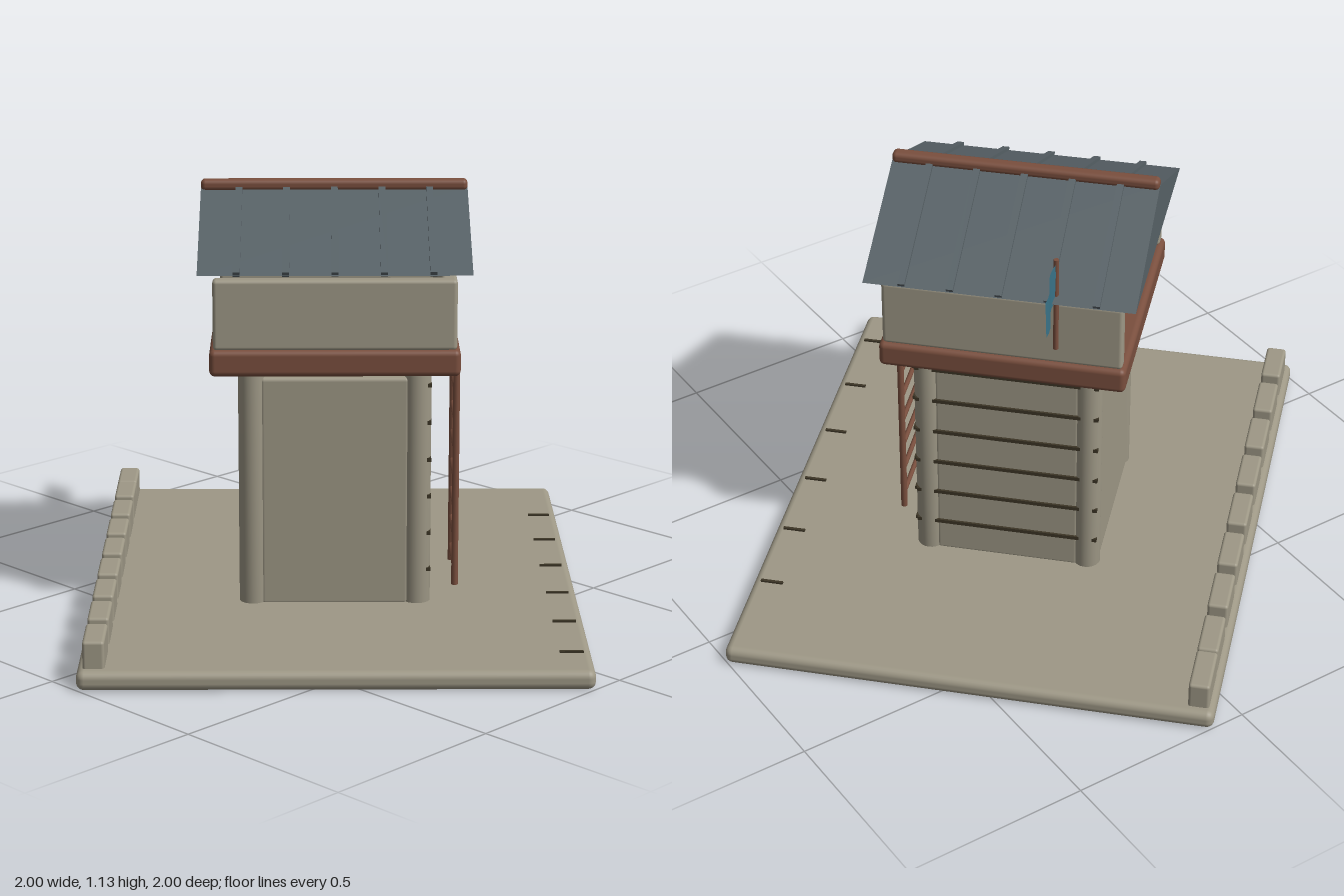
import * as THREE from 'three';
import { RoundedBoxGeometry } from 'three/addons/geometries/RoundedBoxGeometry.js';

const mat = (name, color) => {
  const m = new THREE.MeshStandardMaterial({ color });
  m.name = name;
  return m;
};

export function createModel() {
  const stone = mat('stone', 0x9e9886);
  const mortar = mat('dark mortar', 0x3c3526);
  const wood = mat('brown wood', 0x7a4f3e);
  const slate = mat('slate', 0x586267);
  const cloth = mat('blue cloth', 0x3a7489);
  cloth.side = THREE.DoubleSide;

  const root = new THREE.Group();
  root.name = 'watchtower';
  const tower = new THREE.Group();
  tower.name = 'towerAndYard';
  tower.rotation.y = Math.PI / 4; // the whole site stands diagonally
  root.add(tower);

  const add = (name, geo, material, x, y, z, parent = tower) => {
    const mesh = new THREE.Mesh(geo, material);
    mesh.name = name;
    mesh.position.set(x, y, z);
    parent.add(mesh);
    return mesh;
  };
  const box = (w, h, d) => new THREE.BoxGeometry(w, h, d);
  const soft = (w, h, d, r) => new RoundedBoxGeometry(w, h, d, 3, r);
  const rod = (r, h, sides = 10) => new THREE.CylinderGeometry(r, r, h, sides);

  // Ground slab
  add('groundSlab', soft(1.566, 0.05, 1.286, 0.02), stone, 0, 0.025, 0);

  // Low wall of blocks along the back edge
  for (let i = 0; i < 9; i++) {
    const x = i < 8 ? -0.682 + 0.175 * i : 0.686;
    add('wallBlock', soft(0.14, 0.08, 0.055, 0.008), stone, x, 0.08, -0.6);
  }

  // Short seams along the front edge
  for (let i = 0; i < 6; i++) {
    add('slabSeam', box(0.008, 0.01, 0.06), mortar, -0.643 + 0.2277 * i, 0.05, 0.592);
  }

  // Tower core: two crossed blocks leave the corners free for the posts
  add('sideWalls', soft(0.51, 0.62, 0.39, 0.012), stone, 0, 0.352, 0);
  add('frontBackWalls', soft(0.42, 0.62, 0.49, 0.012), stone, 0, 0.352, 0);

  // Corner posts, their round heads show above the deck
  for (const x of [-0.23, 0.23]) {
    for (const z of [-0.215, 0.215]) {
      const profile = [[0, 0.04], [0.036, 0.04], [0.036, 0.755], [0.03, 0.765], [0, 0.768]]
        .map(([r, y]) => new THREE.Vector2(r, y));
      add('cornerPost', new THREE.LatheGeometry(profile, 20), stone, x, 0, z);
    }
  }

  // Masonry joints: courses on the front and left side, upright joints on the front
  for (let row = 0; row < 6; row++) {
    const y = 0.14 + 0.1 * row;
    add('frontCourse', box(0.51, 0.01, 0.03), mortar, 0, y, 0.236);
    add('sideCourse', box(0.03, 0.01, 0.49), mortar, 0.246, y, 0);
    const offset = row % 2 ? 0.065 : 0;
    for (let k = -1; k <= 1; k++) {
      const x = k * 0.13 + offset;
      if (Math.abs(x) < 0.18) {
        add('uprightJoint', box(0.009, 0.1, 0.02), mortar, x, y - 0.05 + (row ? 0 : 0.005), 0.239);
      }
    }
  }

  // Deck
  add('deck', soft(0.645, 0.07, 0.645, 0.015), wood, 0, 0.715, 0);

  // Parapet on three sides, open at the back
  add('frontParapet', soft(0.625, 0.185, 0.04, 0.01), stone, 0, 0.84, 0.293);
  for (const side of [-1, 1]) {
    add('sideParapet', soft(0.04, 0.185, 0.625, 0.01), stone, side * 0.293, 0.84, 0);
  }

  // Gabled roof
  const gable = new THREE.Shape();
  gable.moveTo(-0.35, 0.953);
  gable.lineTo(0.35, 0.953);
  gable.lineTo(0, 1.115);
  const roofGeo = new THREE.ExtrudeGeometry(gable, { depth: 0.7, bevelEnabled: false });
  add('roof', roofGeo, slate, 0, 0, -0.35);

  // Raised battens down both slopes
  const slope = Math.atan2(0.162, 0.35);
  for (const side of [-1, 1]) {
    for (let i = -2; i <= 2; i++) {
      const batten = add('roofBatten', box(0.38, 0.014, 0.018), slate, side * 0.176, 1.036, i * 0.125);
      batten.rotation.z = -side * slope;
    }
  }
  add('ridgeBeam', soft(0.036, 0.03, 0.7, 0.012), wood, 0, 1.12, 0);

  // Ladder up the front
  const ladder = new THREE.Group();
  ladder.name = 'ladder';
  tower.add(ladder);
  for (const x of [-0.11, 0.1]) add('ladderRail', rod(0.009, 0.645), wood, x, 0.3675, 0.322, ladder);
  for (let i = 0; i < 8; i++) {
    const rung = add('ladderRung', rod(0.007, 0.21, 8), wood, -0.005, 0.095 + 0.081 * i, 0.322, ladder);
    rung.rotation.z = Math.PI / 2;
  }

  // Flag on a pole fixed to the left side
  const flag = new THREE.Group();
  flag.name = 'flag';
  flag.position.set(0.322, 0, -0.143);
  tower.add(flag);
  add('flagPole', rod(0.007, 0.27), wood, 0, 0.935, 0, flag);
  const clothGeo = new THREE.PlaneGeometry(0.145, 0.115, 8, 1);
  const p = clothGeo.attributes.position;
  for (let i = 0; i < p.count; i++) p.setZ(i, 0.006 * Math.sin((p.getX(i) + 0.0725) * 40));
  clothGeo.computeVertexNormals();
  add('flagCloth', clothGeo, cloth, 0.076, 0.995, 0, flag).rotation.z = -0.12;

  return root;
}
